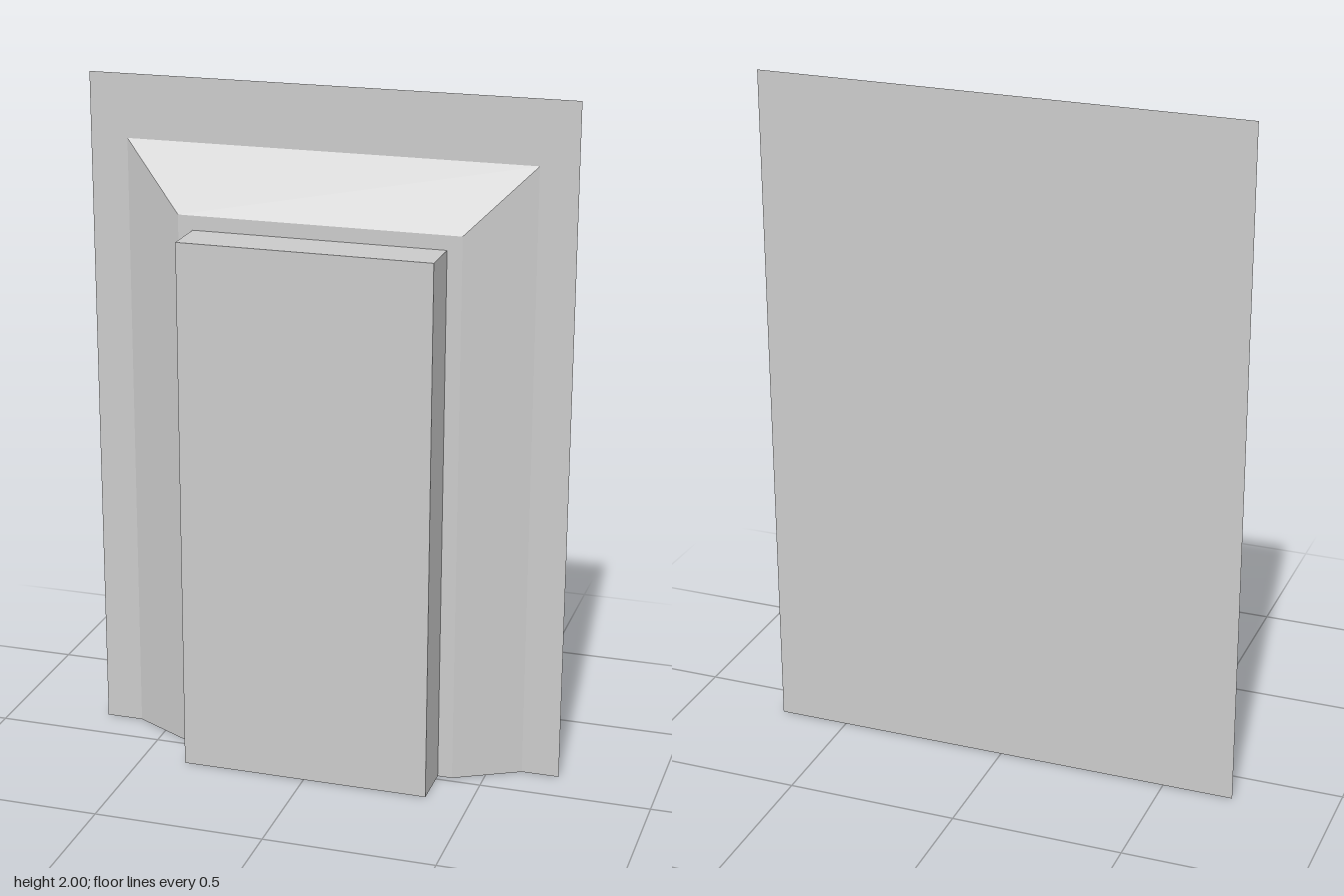
import * as THREE from 'three';

const BACK = -0.12, STEP = -0.02, FRONT = 0.12;

// Box standing on the ground, open at the back, whose front can be narrower and lower
function taperedBlock(backHalf, backTop, frontHalf, frontTop, z0, z1) {
  const geo = new THREE.BoxGeometry(2, 1, 1).translate(0, 0.5, 0.5);
  const p = geo.attributes.position;
  for (let i = 0; i < p.count; i++) {
    const front = p.getZ(i) > 0.5;
    p.setXYZ(
      i,
      p.getX(i) * (front ? frontHalf : backHalf),
      p.getY(i) * (front ? frontTop : backTop),
      front ? z1 : z0
    );
  }
  // The last face of a box is its back, hidden against the part behind
  geo.setIndex(Array.from(geo.index.array).slice(0, 30));
  geo.clearGroups();
  geo.computeVertexNormals();
  return geo;
}

export function createModel() {
  const group = new THREE.Group();
  group.name = 'panelledDoorway';
  const material = new THREE.MeshStandardMaterial({ color: 0xcccccc, flatShading: true, side: THREE.DoubleSide });
  const add = (name, geo) => {
    const mesh = new THREE.Mesh(geo, material);
    mesh.name = name;
    group.add(mesh);
  };

  // Thin wall sheet
  add('backWall', new THREE.PlaneGeometry(1.414, 2).translate(0, 1, BACK));
  // Surround with sloping top and sides
  add('bevelledSurround', taperedBlock(0.597, 1.815, 0.411, 1.63, BACK, STEP));
  // Raised slab
  add('frontPanel', taperedBlock(0.368, 1.588, 0.368, 1.588, STEP, FRONT));

  return group;
}
